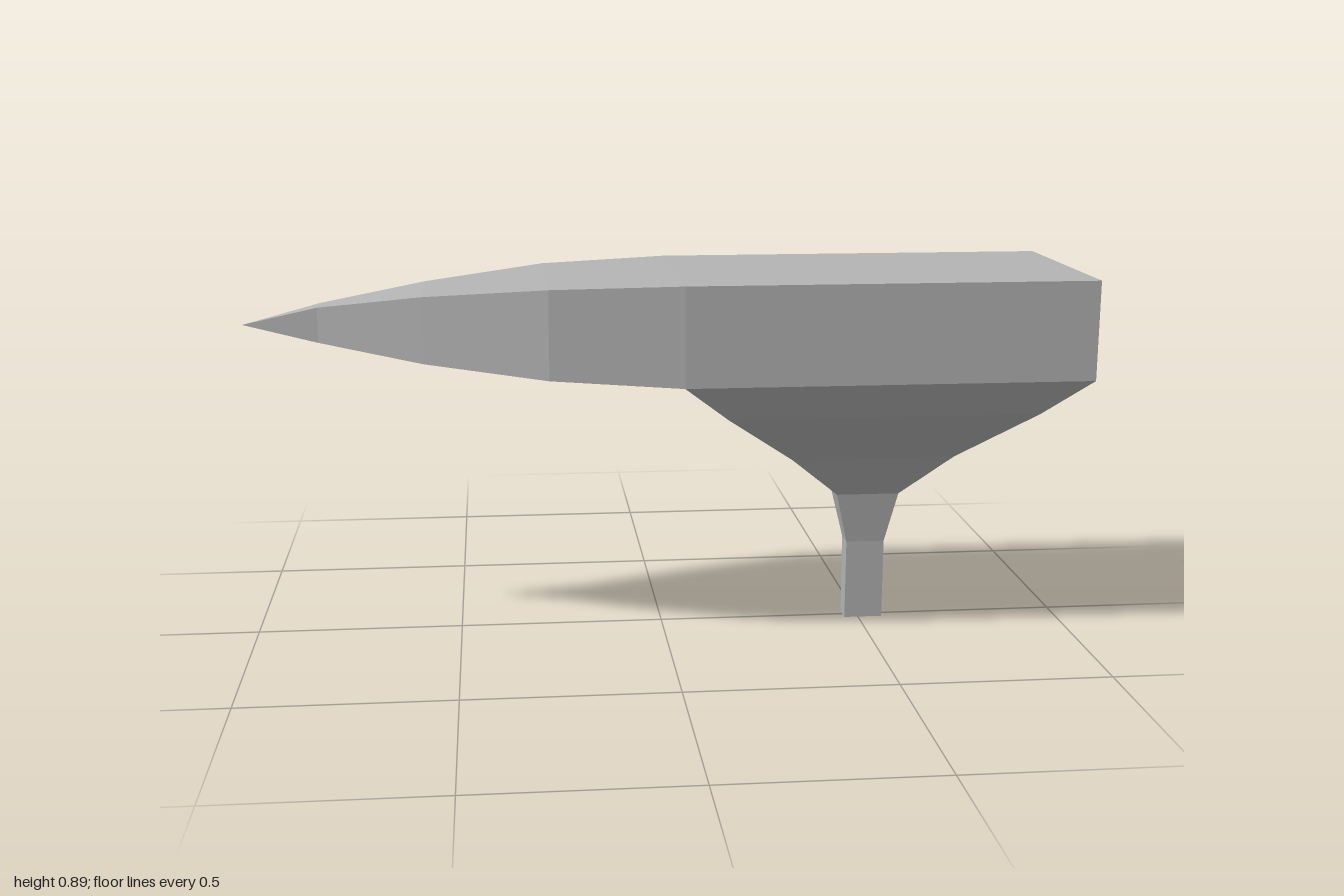
import * as THREE from 'three';

// Hull stations: x, top y, bottom y, half width
const HULL = [
  [-1, 0.77, 0.77, 0],
  [-0.82, 0.814, 0.73, 0.035],
  [-0.57, 0.85, 0.692, 0.13],
  [-0.28, 0.877, 0.666, 0.23],
  [0.03, 0.887, 0.65, 0.27],
  [1, 0.887, 0.65, 0.27],
];
// Pedestal levels: y, low x, high x, half width
const PEDESTAL = [
  [0.65, 0.03, 1, 0.27],
  [0.56, 0.14, 0.89, 0.21],
  [0.435, 0.31, 0.71, 0.11],
  [0.327, 0.435, 0.59, 0.044],
  [0.2, 0.465, 0.56, 0.028],
  [0, 0.465, 0.56, 0.026],
];
// Round tunnel running along x
const R = 0.174, YC = 0.609, TUNNEL_START = -0.28, TUNNEL_END = 0.5;
const tunnelHalf = (y) => Math.sqrt(Math.max(0, R * R - (y - YC) ** 2));
const lerp = THREE.MathUtils.lerp;

// Pedestal cross-section at any height
function pedestalAt(y) {
  for (let i = 0; i < PEDESTAL.length - 1; i++) {
    const a = PEDESTAL[i], b = PEDESTAL[i + 1];
    if (y >= b[0]) {
      const t = (a[0] - y) / (a[0] - b[0]);
      return a.map((v, k) => lerp(v, b[k], t));
    }
  }
  return PEDESTAL[PEDESTAL.length - 1];
}

// Collects flat faces, each turned to look along a given direction
class Faces {
  constructor() { this.pos = []; }
  tri(a, b, c, out) {
    const [A, B, C] = [a, b, c].map((p) => new THREE.Vector3(...p));
    const n = B.clone().sub(A).cross(C.clone().sub(A));
    if (n.length() < 1e-9) return;
    if (n.dot(new THREE.Vector3(...out)) < 0) this.pos.push(...a, ...c, ...b);
    else this.pos.push(...a, ...b, ...c);
  }
  quad(a, b, c, d, out) {
    this.tri(a, b, c, out);
    this.tri(a, c, d, out);
  }
  mesh(name, material) {
    const g = new THREE.BufferGeometry();
    g.setAttribute('position', new THREE.Float32BufferAttribute(this.pos, 3));
    g.computeVertexNormals();
    const m = new THREE.Mesh(g, material);
    m.name = name;
    return m;
  }
}

function buildHull(material) {
  const f = new Faces();
  for (let i = 0; i < HULL.length - 1; i++) {
    const [x0, t0, b0, w0] = HULL[i], [x1, t1, b1, w1] = HULL[i + 1];
    // deck
    f.quad([x0, t0, -w0], [x1, t1, -w1], [x1, t1, w1], [x0, t0, w0], [0, 1, 0]);
    for (const s of [1, -1]) {
      // side
      f.quad([x0, b0, s * w0], [x1, b1, s * w1], [x1, t1, s * w1], [x0, t0, s * w0], [0, 0, s]);
      // underside, leaving the tunnel mouth and the pedestal open
      if (x0 < 0) {
        const open = x0 >= TUNNEL_START;
        const g0 = open ? tunnelHalf(b0) : 0, g1 = open ? tunnelHalf(b1) : 0;
        f.quad([x0, b0, s * g0], [x1, b1, s * g1], [x1, b1, s * w1], [x0, b0, s * w0], [0, -1, 0]);
      }
    }
  }
  // square end
  const [x, t, b, w] = HULL[HULL.length - 1];
  f.quad([x, b, -w], [x, b, w], [x, t, w], [x, t, -w], [1, 0, 0]);
  return f.mesh('hull', material);
}

const MOUTH_Y = [0.435, 0.445, 0.475, 0.515, 0.56, 0.605, 0.65];

function buildPedestal(material) {
  const f = new Faces();
  for (let i = 0; i < PEDESTAL.length - 1; i++) {
    const [y0, l0, h0, w0] = PEDESTAL[i], [y1, l1, h1, w1] = PEDESTAL[i + 1];
    f.quad([h0, y0, -w0], [h0, y0, w0], [h1, y1, w1], [h1, y1, -w1], [1, 0, 0]);
    for (const s of [1, -1]) {
      f.quad([l0, y0, s * w0], [h0, y0, s * w0], [h1, y1, s * w1], [l1, y1, s * w1], [0, 0, s]);
    }
    if (y0 <= 0.435) f.quad([l0, y0, -w0], [l0, y0, w0], [l1, y1, w1], [l1, y1, -w1], [-1, 0, 0]);
  }
  // face around the tunnel mouth
  for (let i = 0; i < MOUTH_Y.length - 1; i++) {
    const y0 = MOUTH_Y[i], y1 = MOUTH_Y[i + 1];
    const [, x0, , w0] = pedestalAt(y0), [, x1, , w1] = pedestalAt(y1);
    const g0 = tunnelHalf(y0), g1 = tunnelHalf(y1);
    for (const s of [1, -1]) {
      f.quad([x0, y0, s * g0], [x0, y0, s * w0], [x1, y1, s * w1], [x1, y1, s * g1], [-1, 0, 0]);
    }
  }
  // foot
  const [y, l, h, w] = PEDESTAL[PEDESTAL.length - 1];
  f.quad([l, y, -w], [h, y, -w], [h, y, w], [l, y, w], [0, -1, 0]);
  return f.mesh('pedestal', material);
}

function buildTunnel(material) {
  const f = new Faces();
  const ys = [...MOUTH_Y, 0.666];
  const a0 = Math.asin((0.666 - YC) / R);
  for (let i = 1; i <= 7; i++) ys.push(YC + R * Math.sin(lerp(a0, Math.PI / 2, i / 7)));
  // where the tunnel wall begins at each height
  const start = (y) => {
    if (y >= 0.666) return TUNNEL_START;
    if (y >= 0.65) return lerp(0.03, TUNNEL_START, (y - 0.65) / 0.016);
    return pedestalAt(y)[1];
  };
  for (let i = 0; i < ys.length - 1; i++) {
    const y0 = ys[i], y1 = ys[i + 1], z0 = tunnelHalf(y0), z1 = tunnelHalf(y1);
    for (const s of [1, -1]) {
      const inward = [0, YC - (y0 + y1) / 2, -s * (z0 + z1) / 2];
      f.quad([start(y0), y0, s * z0], [TUNNEL_END, y0, s * z0],
        [TUNNEL_END, y1, s * z1], [start(y1), y1, s * z1], inward);
      // inner end wall
      f.quad([TUNNEL_END, y0, 0], [TUNNEL_END, y0, s * z0],
        [TUNNEL_END, y1, s * z1], [TUNNEL_END, y1, 0], [-1, 0, 0]);
      // arched wall under the bow
      if (y0 >= 0.666) {
        f.quad([TUNNEL_START, y0, 0], [TUNNEL_START, y0, s * z0],
          [TUNNEL_START, y1, s * z1], [TUNNEL_START, y1, 0], [1, 0, 0]);
      }
    }
  }
  return f.mesh('tunnel', material);
}

export function createModel() {
  const grey = new THREE.MeshStandardMaterial({ color: 0xb4b4b4 });
  grey.name = 'grey';
  grey.flatShading = true;
  grey.side = THREE.DoubleSide;
  const group = new THREE.Group();
  group.name = 'model';
  group.add(buildHull(grey), buildPedestal(grey), buildTunnel(grey));
  return group;
}
